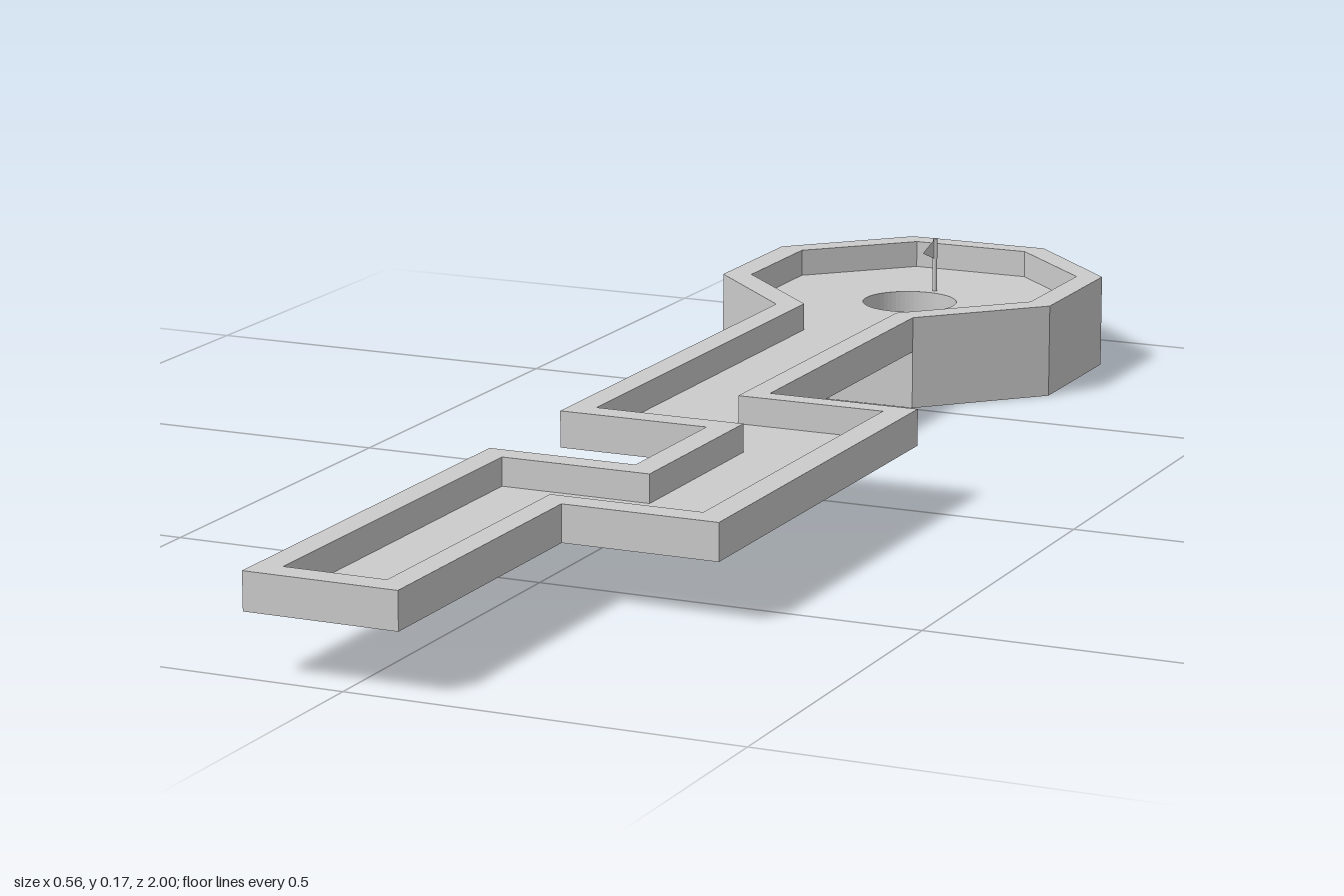
import * as THREE from 'three';

const material = new THREE.MeshStandardMaterial({ color: 0xcccccc });
const thin = new THREE.MeshStandardMaterial({ color: 0xcccccc, side: THREE.DoubleSide });

const TOP = 0.127, FLOOR = 0.09, LANE = 0.079, CUP = 0.06;

// Plan points are [x, z]; the shape plane is laid flat with y up.
const plan = (pts) => pts.map(([x, z]) => new THREE.Vector2(x, -z));

// Outlines run clockwise seen from above, holes anticlockwise.
function slab(name, pts, y0, y1, hole) {
  const shape = new THREE.Shape(plan(pts));
  if (hole) shape.holes.push(hole);
  const geo = new THREE.ExtrudeGeometry(shape, { depth: y1 - y0, bevelEnabled: false, curveSegments: 32 });
  geo.rotateX(-Math.PI / 2).translate(0, y0, 0);
  const mesh = new THREE.Mesh(geo, material);
  mesh.name = name;
  return mesh;
}

export function createModel() {
  const group = new THREE.Group();
  group.name = 'miniGolfHole';

  // Octagonal green, clockwise from the back, ending at the lane mouth
  const greenRight = [[0.072, -1], [0.216, -0.855], [0.216, -0.65], [0.072, -0.505]];
  const greenLeft = [[-0.132, -0.505], [-0.278, -0.65], [-0.278, -0.855], [-0.132, -1]];
  const green = [...greenRight, ...greenLeft];

  // Zigzag lane
  const lane = [
    [0.072, -0.505], [0.072, -0.025], [0.277, -0.025], [0.277, 0.585], [0.072, 0.585], [0.072, 1],
    [-0.127, 1], [-0.127, 0.38], [0.072, 0.38], [0.072, 0.172], [-0.132, 0.172], [-0.132, -0.505],
  ];

  // Outer and inner edges of the rim
  const outer = [...greenRight, ...lane.slice(1, -1), ...greenLeft];
  const inner = [
    [0.055, -0.968], [0.182, -0.843], [0.182, -0.665], [0.04, -0.523],
    [0.04, 0.004], [0.241, 0.004], [0.241, 0.55], [0.04, 0.55], [0.04, 0.965],
    [-0.093, 0.965], [-0.093, 0.414], [0.107, 0.414], [0.107, 0.137], [-0.098, 0.137],
    [-0.098, -0.523], [-0.241, -0.665], [-0.241, -0.843], [-0.113, -0.968],
  ];

  // Cup opening in the green
  const cup = new THREE.Path().absarc(-0.033, 0.748, 0.066, 0, Math.PI * 2, false);

  group.add(
    slab('greenBase', green, 0, CUP),
    slab('greenFloor', green, CUP, FLOOR, cup),
    slab('laneFloor', lane, LANE, FLOOR),
    slab('rim', outer, FLOOR, TOP, new THREE.Path(plan(inner).reverse())),
  );

  // Flag behind the cup
  const flag = new THREE.Group();
  flag.name = 'flag';
  flag.position.set(-0.028, FLOOR, -0.829);
  const poleHeight = 0.166 - FLOOR;
  const pole = new THREE.Mesh(new THREE.CylinderGeometry(0.0035, 0.0035, poleHeight, 8), material);
  pole.name = 'flagPole';
  pole.position.y = poleHeight / 2;
  const pennantShape = new THREE.Shape(plan([[0, -poleHeight], [-0.046, -poleHeight + 0.013], [0, -poleHeight + 0.03]]));
  const pennant = new THREE.Mesh(new THREE.ShapeGeometry(pennantShape).rotateY(Math.PI / 2), thin);
  pennant.name = 'pennant';
  flag.add(pole, pennant);
  group.add(flag);

  return group;
}
